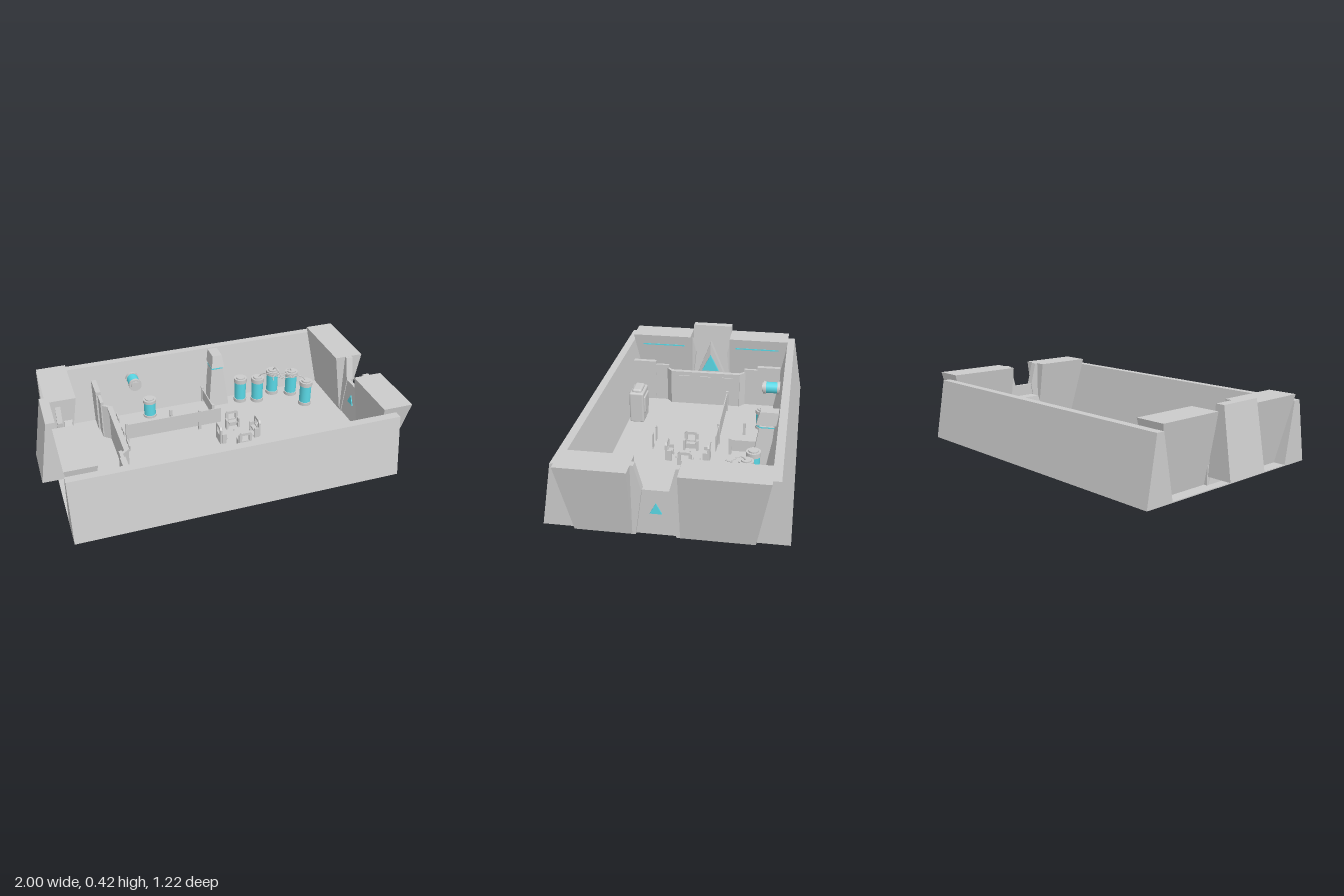
import * as THREE from 'three';
import { ConvexGeometry } from 'three/addons/geometries/ConvexGeometry.js';
import { RoundedBoxGeometry } from 'three/addons/geometries/RoundedBoxGeometry.js';

const grey = new THREE.MeshStandardMaterial({ color: 0xcccccc, side: THREE.DoubleSide });
const cyan = new THREE.MeshStandardMaterial({ color: 0x5ad8e6, side: THREE.DoubleSide });

export function createModel() {
  const root = new THREE.Group();
  const add = (name, geo, mat = grey, parent = root) => {
    const m = new THREE.Mesh(geo, mat);
    m.name = name;
    parent.add(m);
    return m;
  };
  const group = (name, x = 0, y = 0, z = 0) => {
    const g = new THREE.Group();
    g.name = name;
    g.position.set(x, y, z);
    root.add(g);
    return g;
  };
  // Box given by its limits
  const box = (x0, x1, y0, y1, z0, z1) =>
    new THREE.BoxGeometry(x1 - x0, y1 - y0, z1 - z0)
      .translate((x0 + x1) / 2, (y0 + y1) / 2, (z0 + z1) / 2);
  // Slanted block: bottom and top rectangles [x0, x1, z0, z1]
  const slanted = (y0, bottom, y1, top) => {
    const g = new THREE.BoxGeometry(1, 1, 1).toNonIndexed();
    const p = g.attributes.position;
    for (let i = 0; i < p.count; i++) {
      const r = p.getY(i) > 0 ? top : bottom;
      p.setXYZ(i, p.getX(i) > 0 ? r[1] : r[0], p.getY(i) > 0 ? y1 : y0, p.getZ(i) > 0 ? r[3] : r[2]);
    }
    g.computeVertexNormals();
    return g;
  };
  // Plate cut from [z, y] points, reaching from x0 to x1
  const plate = (pts, x0, x1) =>
    new THREE.ExtrudeGeometry(new THREE.Shape(pts.map(p => new THREE.Vector2(p[0], p[1]))),
      { depth: x1 - x0, bevelEnabled: false }).rotateY(-Math.PI / 2).translate(x1, 0, 0);
  const tube = (pts, r) => new THREE.TubeGeometry(
    new THREE.CatmullRomCurve3(pts.map(p => new THREE.Vector3(...p))), 10, r, 6);

  // Floor and long walls
  add('floor', box(-0.91, 0.91, 0, 0.006, -0.45, 0.45));
  add('frontWall', slanted(0, [-0.91, 0.91, 0.44, 0.61], 0.35, [-0.91, 0.91, 0.505, 0.55]));
  add('backWall', slanted(0, [-0.91, 0.91, -0.61, -0.44], 0.35, [-0.91, 0.91, -0.55, -0.505]));

  // Leaning end blocks, overhanging inwards and outwards
  add('endBlock', slanted(0, [0.89, 0.93, 0.155, 0.445], 0.385, [0.83, 1, 0.155, 0.51]));
  add('endBlock', slanted(0, [0.89, 0.93, -0.445, -0.08], 0.385, [0.83, 1, -0.51, -0.08]));
  add('gateBlock', slanted(0, [-0.84, -0.8, 0.13, 0.445], 0.385, [-0.91, -0.74, 0.13, 0.51]));
  add('gateBlock', slanted(0, [-0.84, -0.8, -0.445, -0.13], 0.385, [-0.91, -0.74, -0.51, -0.13]));
  for (const s of [-1, 1]) {
    add('lightStrip', box(-0.755, -0.747, 0.316, 0.324, s * 0.31 - 0.14, s * 0.31 + 0.14), cyan);
  }

  // Door at the +x end: jambs, panel and triangle light
  const doorZ = 0.038;
  for (const s of [-1, 1]) {
    const pts = [[0.117, 0], [0.1, 0], [0.065, 0.25], [0.1, 0.385], [0.117, 0.385]];
    add('doorJamb', plate(pts.map(([z, y]) => [doorZ + s * z, y]), 0.89, 0.93));
  }
  add('doorPanel', plate([[doorZ - 0.1, 0], [doorZ + 0.1, 0], [doorZ + 0.065, 0.25], [doorZ - 0.065, 0.25]], 0.895, 0.915));
  add('doorLight', plate([[doorZ - 0.03, 0.122], [doorZ + 0.03, 0.122], [doorZ, 0.18]], 0.89, 0.922), cyan);

  // Gate at the -x end: porch block, pointed door and triangle light
  add('porch', slanted(0.05, [-1, -0.86, -0.135, 0.135], 0.42, [-0.94, -0.89, -0.127, 0.127]));
  const gatePts = [[-0.785, 0, 0], [-0.82, 0, -0.13], [-0.82, 0, 0.13], [-0.785, 0.335, 0],
    [-0.86, 0, -0.13], [-0.86, 0, 0.13], [-0.83, 0.335, 0]];
  add('gateDoor', new ConvexGeometry(gatePts.map(p => new THREE.Vector3(...p))));
  for (const s of [-1, 1]) {
    add('gateJamb', plate([[s * 0.14, 0], [s * 0.13, 0], [s * 0.105, 0.25], [s * 0.14, 0.385]], -0.86, -0.83));
  }
  add('gateLight', plate([[-0.055, 0.14], [0.055, 0.14], [0, 0.25]], -0.79, -0.772), cyan);

  // Stepped partition before the gate, with handles
  const partition = group('partition');
  for (const s of [-1, 1]) {
    const a = s * 0.245, b = s * 0.33, c = s * 0.475;
    add('partitionEnd', box(-0.6, -0.57, 0, 0.27, Math.min(b, c), Math.max(b, c)), grey, partition);
    add('partitionStep', box(-0.59, -0.572, 0, 0.25, Math.min(a, b), Math.max(a, b)), grey, partition);
    const turn = add('partitionTurn', new THREE.BoxGeometry(0.016, 0.23, 0.055), grey, partition);
    turn.position.set(-0.557, 0.115, s * 0.232);
    turn.rotation.y = -s * 0.9;
  }
  add('partitionMiddle', box(-0.548, -0.532, 0, 0.22, -0.22, 0.22), grey, partition);
  add('partitionRail', box(-0.556, -0.526, 0.21, 0.23, -0.22, 0.22), grey, partition);
  for (const z of [-0.145, 0, 0.135]) {
    add('handleArm', box(-0.535, -0.51, 0.19, 0.2, z - 0.005, z + 0.005), grey, partition);
    add('handleGrip', box(-0.515, -0.508, 0.18, 0.21, z - 0.035, z + 0.035), grey, partition);
  }

  // Low screens with posts
  add('longScreen', box(-0.46, 0.12, 0.03, 0.13, -0.153, -0.147));
  add('shortScreen', box(0.092, 0.098, 0.03, 0.1, -0.44, -0.23));
  for (const [x, z, h] of [[-0.463, -0.15, 0.14], [-0.015, -0.15, 0.14], [0.095, -0.23, 0.11], [0.095, -0.44, 0.11], [-0.155, -0.29, 0.085]]) {
    add('post', box(x - 0.008, x + 0.008, 0, h, z - 0.008, z + 0.008));
  }

  // Cyan canisters with grey collars
  const canister = (name, x, y, z, r, h) => {
    const g = group(name, x, y, z);
    add('glass', new THREE.CylinderGeometry(r * 0.88, r * 0.88, h * 0.9, 20).translate(0, h / 2, 0), cyan, g);
    for (const t of [0.08, 0.92]) {
      add('collar', new THREE.CylinderGeometry(r, r, h * 0.16, 20).translate(0, h * t, 0), grey, g);
    }
    add('lid', new THREE.CylinderGeometry(r * 0.7, r * 0.7, 0.01, 20).translate(0, h + 0.003, 0), grey, g);
    return g;
  };
  const spots = [[0.33, -0.38], [0.435, -0.35], [0.56, -0.405], [0.67, -0.355], [0.71, -0.215]];
  for (const [x, z] of spots) canister('canister', x, 0, z, 0.041, 0.17);
  canister('barrel', -0.265, 0, -0.388, 0.041, 0.125);
  canister('wallTank', -0.347, 0.24, -0.485, 0.039, 0.1).rotation.x = Math.PI / 2;

  // Pipes meeting at a half-round manifold
  const arc = [0, 1, 2, 3, 4, 5, 6].map(i => Math.PI * i / 6);
  add('manifold', tube(arc.map(a => [0.56 + 0.06 * Math.cos(a), 0.2, -0.245 - 0.06 * Math.sin(a)]), 0.004));
  for (const [x, z] of spots.slice(1)) {
    add('pipe', tube([[x, 0.17, z], [x * 0.75 + 0.14, 0.21, z * 0.75 - 0.06], [0.56, 0.2, -0.245]], 0.003));
  }

  // Tapered tower with a projecting head
  add('towerBody', slanted(0, [0.115, 0.245, -0.46, -0.36], 0.26, [0.145, 0.215, -0.48, -0.4]));
  add('towerBand', box(0.144, 0.216, 0.25, 0.258, -0.481, -0.398), cyan);
  add('towerHead', slanted(0.27, [0.14, 0.22, -0.5, -0.38], 0.345, [0.15, 0.21, -0.5, -0.4]));
  add('towerNeck', box(0.155, 0.205, 0.255, 0.275, -0.48, -0.41));

  // Four seats in a ring, each with an open arched back
  for (let i = 0; i < 4; i++) {
    const g = group('seat', 0.18, 0, 0);
    g.rotation.y = i * Math.PI / 2;
    const arch = new THREE.Shape([[-0.04, 0], [0.04, 0], [0.04, 0.1], [0.028, 0.115], [-0.028, 0.115], [-0.04, 0.1]]
      .map(p => new THREE.Vector2(...p)));
    arch.holes.push(new THREE.Path([[-0.022, 0.06], [-0.022, 0.098], [0.022, 0.098], [0.022, 0.06]]
      .map(p => new THREE.Vector2(...p))));
    add('seatBack', new THREE.ExtrudeGeometry(arch, { depth: 0.012, bevelEnabled: false }).translate(0, 0, 0.115), grey, g);
    add('seatCushion', box(-0.026, 0.026, 0.04, 0.052, 0.088, 0.116), grey, g);
    for (const s of [-1, 1]) add('seatArm', box(s * 0.038 - 0.006, s * 0.038 + 0.006, 0, 0.07, 0.088, 0.116), grey, g);
    add('footPeg', box(-0.004, 0.004, 0, 0.012, 0.066, 0.074), grey, g);
  }

  // Two slim markers
  for (const x of [-0.01, 0.088]) add('marker', box(x - 0.015, x + 0.015, 0, 0.1, 0.218, 0.224));

  // Cabinet with rounded window and hood
  const cabinet = group('cabinet', -0.295, 0, 0.387);
  add('cabinetBody', new RoundedBoxGeometry(0.15, 0.2, 0.09, 2, 0.012).translate(0, 0.1, 0), grey, cabinet);
  add('cabinetWindow', new RoundedBoxGeometry(0.11, 0.11, 0.02, 2, 0.009).translate(0, 0.115, -0.043), grey, cabinet);
  add('cabinetHood', new RoundedBoxGeometry(0.115, 0.03, 0.06, 3, 0.014).translate(0, 0.203, 0), grey, cabinet);

  return root;
}
